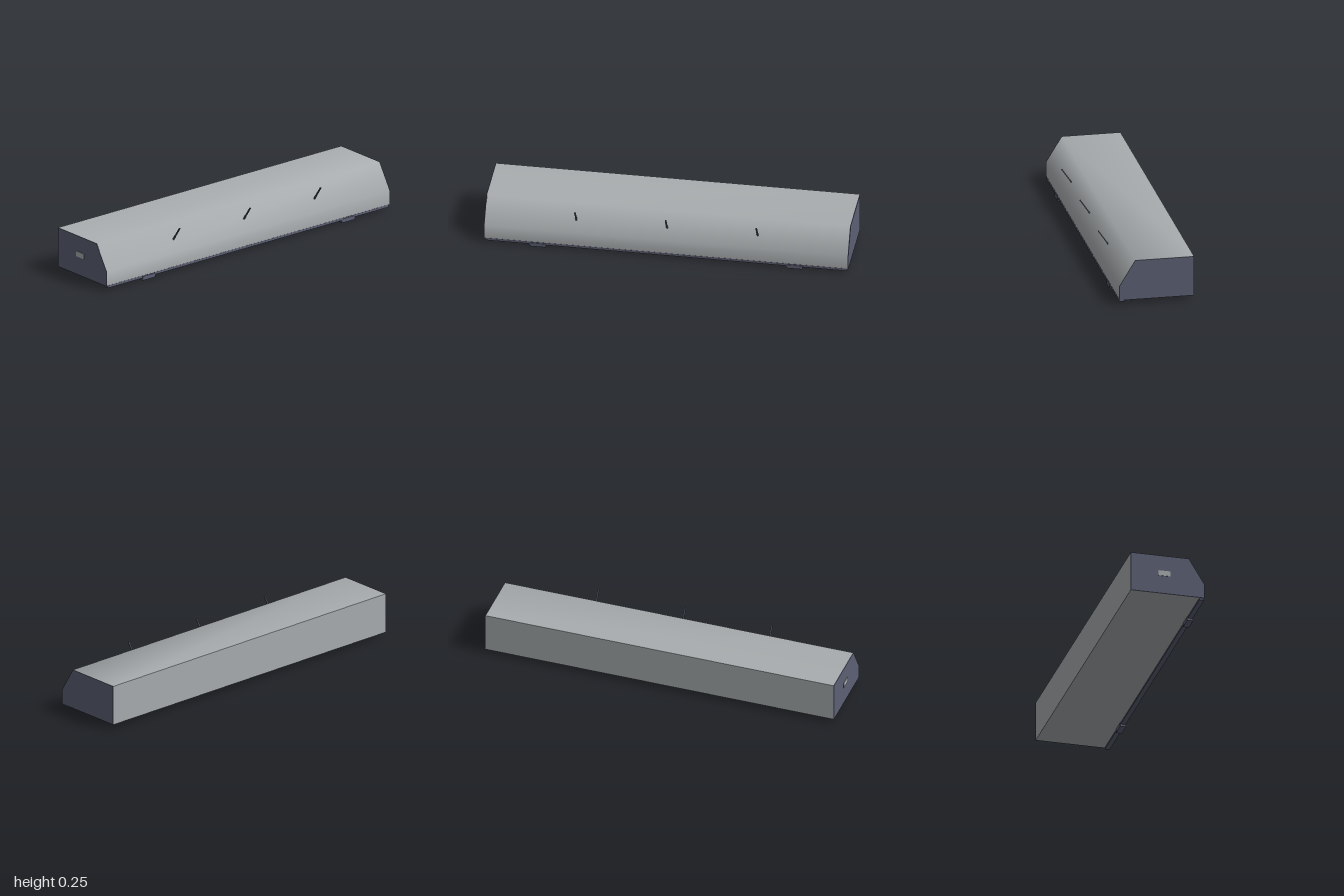
import * as THREE from 'three';

export function createModel() {
  const model = new THREE.Group();
  const grey = new THREE.MeshStandardMaterial({ color: 0xa9adaf, side: THREE.DoubleSide });
  grey.name = 'casing grey';
  const slate = new THREE.MeshStandardMaterial({ color: 0x5c6074 });
  slate.name = 'slate';

  const add = (name, geometry, material, x = 0, y = 0, z = 0) => {
    const mesh = new THREE.Mesh(geometry, material);
    mesh.name = name;
    mesh.position.set(x, y, z);
    model.add(mesh);
    return mesh;
  };

  // Side profile as [z, y], from bottom front over the top to bottom back
  const profile = [[0.197, 0.023], [0.197, 0.105], [0.11, 0.247], [-0.215, 0.247], [-0.215, 0.023]];
  const half = 0.996;

  // Strip swept along x; shared corners give smooth shading across its bends
  const strip = (points) => {
    const positions = [], index = [];
    points.forEach(([z, y], i) => {
      positions.push(-half, y, z, half, y, z);
      if (i) {
        const a = 2 * (i - 1);
        index.push(a, a + 1, a + 3, a, a + 3, a + 2);
      }
    });
    const g = new THREE.BufferGeometry();
    g.setAttribute('position', new THREE.Float32BufferAttribute(positions, 3));
    g.setIndex(index);
    g.computeVertexNormals();
    return g;
  };
  add('frontAndTopCover', strip(profile.slice(0, 4)), grey);
  add('backPanel', strip(profile.slice(3)), grey);
  add('bottomPanel', strip([profile[4], profile[0]]), grey);

  // Flat end caps, extruded along x
  const outline = new THREE.Shape(profile.map(([z, y]) => new THREE.Vector2(-z, y)));
  for (const side of [-1, 1]) {
    const cap = new THREE.ExtrudeGeometry(outline, { depth: 0.004, bevelEnabled: false });
    cap.rotateY(Math.PI / 2);
    add(side > 0 ? 'leftEndCap' : 'rightEndCap', cap, slate, side > 0 ? half - 0.001 : -half - 0.003);
  }

  // Small plate on the right end
  add('endPlate', new THREE.BoxGeometry(0.004, 0.03, 0.066), grey, -1, 0.142, -0.027);

  // Rail along the lower front edge, with two feet
  add('bottomRail', new THREE.BoxGeometry(1.984, 0.014, 0.027), slate, 0, 0.02, 0.1845);
  for (const x of [-0.703, 0.703]) {
    add('foot', new THREE.BoxGeometry(0.09, 0.022, 0.033), slate, x, 0.011, 0.1845);
  }

  // Slanted fins standing out of the sloping front
  for (const x of [-0.497, 0, 0.497]) {
    const fin = add('fin', new THREE.BoxGeometry(0.008, 0.104, 0.006), slate, x, 0.202, 0.183);
    fin.rotation.x = Math.atan2(0.056, 0.082);
  }
  return model;
}
